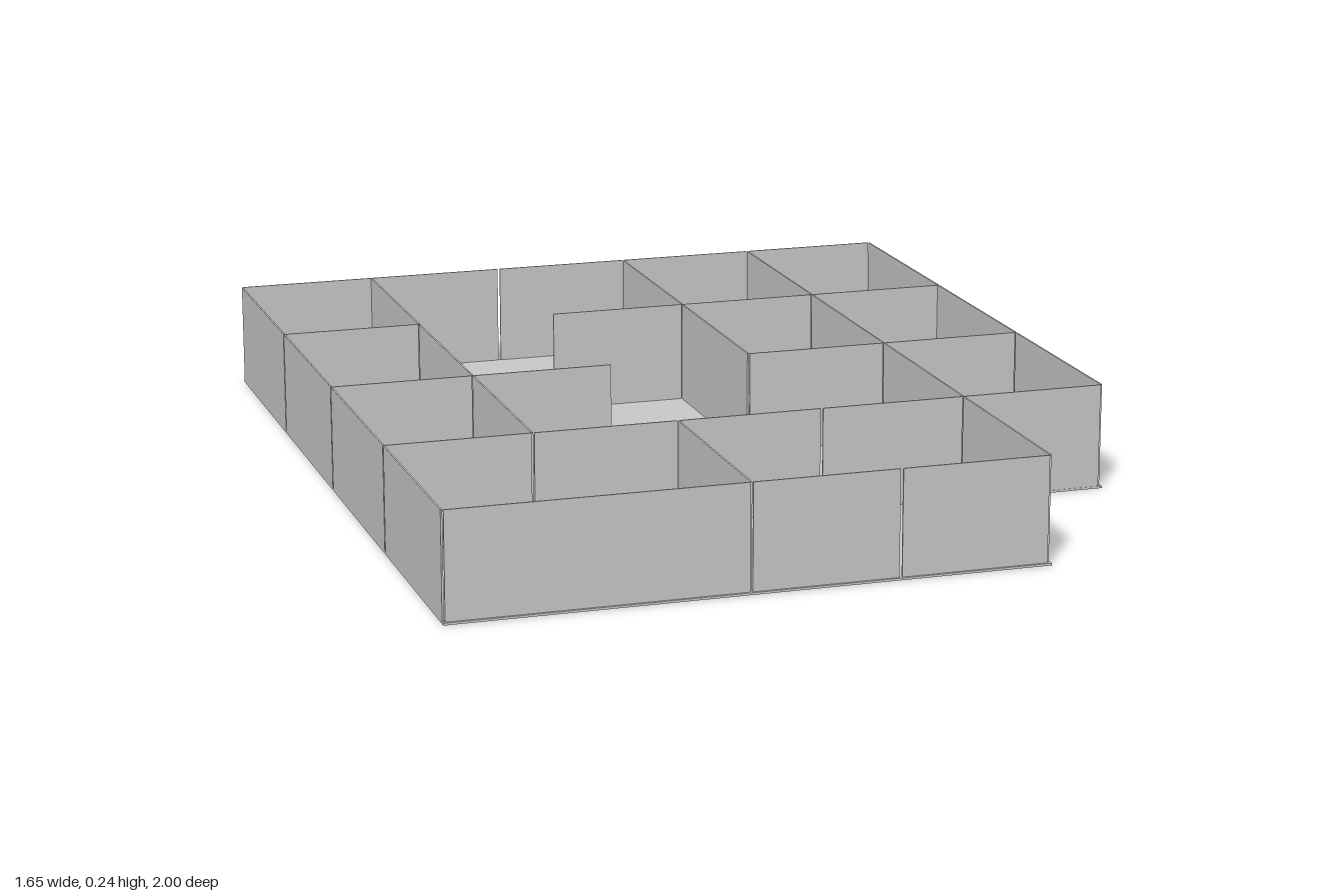
import * as THREE from 'three';

const X = [-0.823, -0.498, -0.172, 0.155, 0.487, 0.817]; // grid lines across
const Z = [-0.998, -0.503, -0.002, 0.499, 0.993]; // grid lines front to back
const FLOOR = 0.005, TOP = 0.24, THICK = 0.004, GAP = 0.003;

// wall panels as grid cells: [column, row, toColumn, toRow]
const OUTER = [
  // back
  [0, 0, 2, 0], [2, 0, 3, 0], [3, 0, 4, 0], [4, 0, 5, 0],
  // -x side
  [0, 0, 0, 1], [0, 1, 0, 2], [0, 2, 0, 3], [0, 3, 0, 4],
  // front
  [0, 4, 2, 4], [2, 4, 3, 4], [3, 4, 4, 4],
  // +x side and the stepped corner
  [5, 0, 5, 2], [5, 2, 5, 3], [4, 3, 5, 3], [4, 3, 4, 4],
];
const INNER = [
  // rooms along the -x side
  [0, 1, 1, 1], [0, 2, 1, 2], [0, 3, 1, 3],
  [1, 0, 1, 1], [1, 1, 1, 2], [1, 2, 1, 3], [1, 2, 2, 2],
  // rooms along the front
  [1, 3, 2, 3], [2, 3, 3, 3], [3, 3, 4, 3], [2, 3, 2, 4],
  // rooms along the back and the +x side
  [3, 0, 3, 1], [4, 0, 4, 1], [2, 1, 3, 1], [3, 1, 4, 1], [4, 1, 5, 1],
  [3, 1, 3, 2], [4, 1, 4, 2], [3, 2, 4, 2], [4, 2, 5, 2], [4, 2, 4, 3],
];

export function createModel() {
  const model = new THREE.Group();
  const material = new THREE.MeshStandardMaterial({ color: 0xcccccc, flatShading: true });

  // floor slab with the front corner stepped in
  const outline = new THREE.Shape([
    [-0.825, 1], [-0.825, -1], [0.823, -1], [0.823, 0.502], [0.492, 0.502], [0.492, 1],
  ].map(([x, z]) => new THREE.Vector2(x, -z)));
  const slab = new THREE.ExtrudeGeometry(outline, { depth: FLOOR, bevelEnabled: false });
  slab.rotateX(-Math.PI / 2);
  const floor = new THREE.Mesh(slab, material);
  floor.name = 'floor';
  model.add(floor);

  // thin upright panels with narrow joints at their ends
  const addWalls = (panels, groupName, panelName) => {
    const group = new THREE.Group();
    group.name = groupName;
    for (const [a, b, c, d] of panels) {
      const w = a === c ? THICK : X[c] - X[a] - 2 * GAP;
      const l = b === d ? THICK : Z[d] - Z[b] - 2 * GAP;
      const wall = new THREE.Mesh(new THREE.BoxGeometry(w, TOP - FLOOR, l), material);
      wall.position.set((X[a] + X[c]) / 2, (TOP + FLOOR) / 2, (Z[b] + Z[d]) / 2);
      wall.name = panelName;
      group.add(wall);
    }
    model.add(group);
  };
  addWalls(OUTER, 'outerWalls', 'outerWall');
  addWalls(INNER, 'roomDividers', 'roomDivider');
  return model;
}
